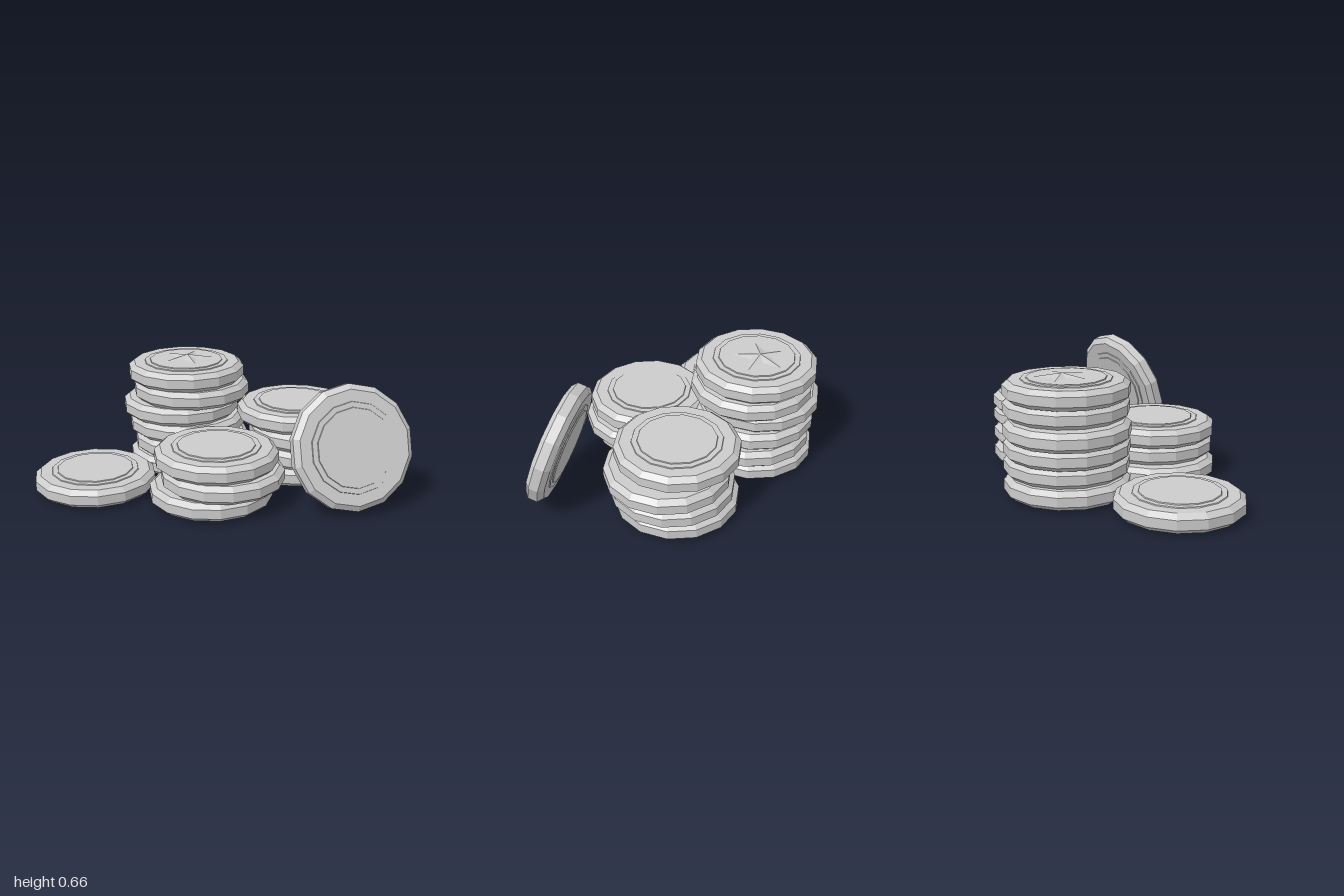
import * as THREE from 'three';

const SIDES = 14, R = 0.328, FACE = 0.298, HALF = 0.05, BEVEL = 0.025;
const material = new THREE.MeshStandardMaterial({ color: 0xcccccc, flatShading: true });

// Bevelled coin, optionally with stepped raised discs on its faces
function coinGeometry(raisedTop, raisedBottom) {
  const step = [[0.205, 0.01], [0.207, 0.005], [0.235, 0.005], [0.237, 0]];
  const points = [];
  const add = (r, y) => points.push(new THREE.Vector2(r, y));
  add(0, -HALF - (raisedBottom ? 0.01 : 0));
  if (raisedBottom) step.forEach(([r, h]) => add(r, -HALF - h));
  add(FACE, -HALF);
  add(R, -HALF + BEVEL);
  add(R, HALF - BEVEL);
  add(FACE, HALF);
  if (raisedTop) [...step].reverse().forEach(([r, h]) => add(r, HALF + h));
  add(0, HALF + (raisedTop ? 0.01 : 0));
  return new THREE.LatheGeometry(points, SIDES);
}

function coin(name, x, y, z, top, bottom) {
  const mesh = new THREE.Mesh(coinGeometry(top, bottom), material);
  mesh.name = name;
  mesh.position.set(x, y, z);
  return mesh;
}

// Pile of coins with a sideways offset for each one; the top coin shows its raised face
function stack(name, z, xs) {
  const group = new THREE.Group();
  group.name = name;
  xs.forEach((x, i) => group.add(coin('coin', x, 0.06 + i * 0.1, z, i === xs.length - 1, false)));
  return group;
}

// Five-pointed faceted star, one tip toward -z
function starGeometry(outer, inner, height) {
  const corner = (i) => {
    const a = (i * Math.PI) / 5, r = i % 2 ? outer : inner;
    return [r * Math.sin(a), 0, r * Math.cos(a)];
  };
  const positions = [];
  for (let i = 0; i < 10; i++) positions.push(0, height, 0, ...corner(i), ...corner(i + 1));
  const geometry = new THREE.BufferGeometry();
  geometry.setAttribute('position', new THREE.Float32BufferAttribute(positions, 3));
  geometry.computeVertexNormals();
  return geometry;
}

export function createModel() {
  const model = new THREE.Group();
  model.name = 'coinPile';

  // Upright piles
  model.add(stack('tallStack', -0.238, [-0.325, -0.295, -0.325, -0.36, -0.295, -0.325]));
  model.add(stack('mediumStack', -0.29, [0.31, 0.345, 0.375, 0.305]));
  model.add(stack('shortStack', 0.265, [-0.025, 0.04, 0.005]));

  // Star on the tallest pile
  const star = new THREE.Mesh(starGeometry(0.145, 0.06, 0.018), material);
  star.name = 'star';
  star.position.set(-0.325, 0.62, -0.262);
  model.add(star);

  // Coin lying flat on the ground
  model.add(coin('flatCoin', -0.68, 0.06, 0.285, true, true));

  // Coin leaning back against the piles
  const leaning = coin('leaningCoin', 0.7, 0.341, 0.178, true, true);
  const normal = new THREE.Vector3(0.5, 0.31, 0.81).normalize();
  const side = new THREE.Vector3(0, 1, 0).cross(normal).normalize();
  const down = new THREE.Vector3().crossVectors(side, normal);
  leaning.quaternion.setFromRotationMatrix(new THREE.Matrix4().makeBasis(side, normal, down));
  model.add(leaning);

  return model;
}
